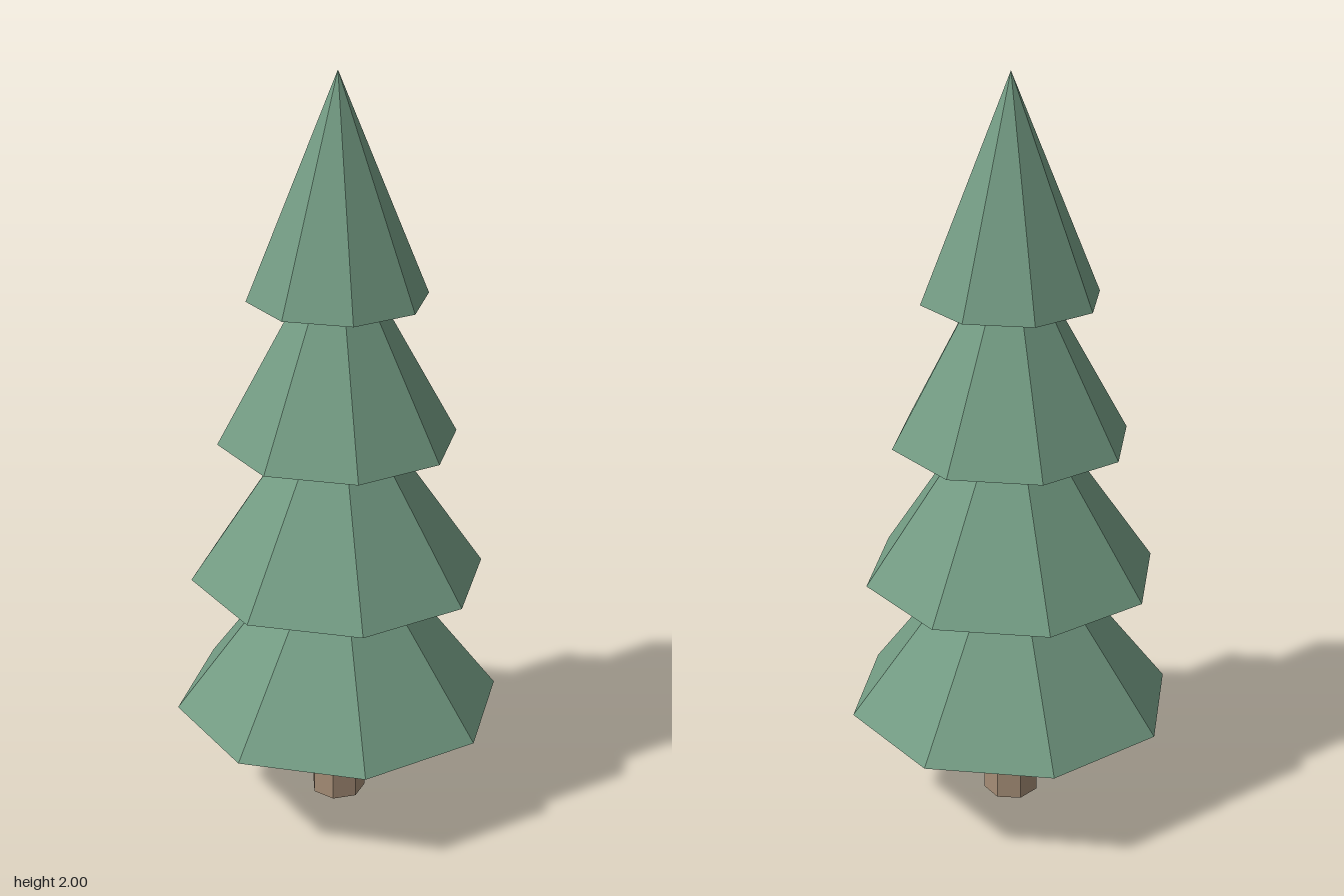
import * as THREE from 'three';

export function createModel() {
  const tree = new THREE.Group();
  tree.name = 'pineTree';

  const needles = new THREE.MeshStandardMaterial({ color: 0x739b83 });
  needles.name = 'needleGreen';
  needles.flatShading = true;
  const bark = new THREE.MeshStandardMaterial({ color: 0xa58d76 });
  bark.name = 'barkBrown';
  bark.flatShading = true;

  // Seven-sided trunk with one corner facing the back
  const trunkHeight = 0.3;
  const trunk = new THREE.Mesh(new THREE.CylinderGeometry(0.074, 0.074, trunkHeight, 7), bark);
  trunk.name = 'trunk';
  trunk.rotation.y = Math.PI;
  trunk.position.y = trunkHeight / 2;
  tree.add(trunk);

  // Four overlapping eight-sided branch tiers, narrowing upwards
  const tierHeight = 0.572;
  [0.437, 0.39, 0.313, 0.233].forEach((radius, i) => {
    const tier = new THREE.Mesh(new THREE.ConeGeometry(radius, tierHeight, 8), needles);
    tier.name = `branchTier${i + 1}`;
    tier.position.y = 0.288 + i * 0.38 + tierHeight / 2;
    tree.add(tier);
  });

  return tree;
}
